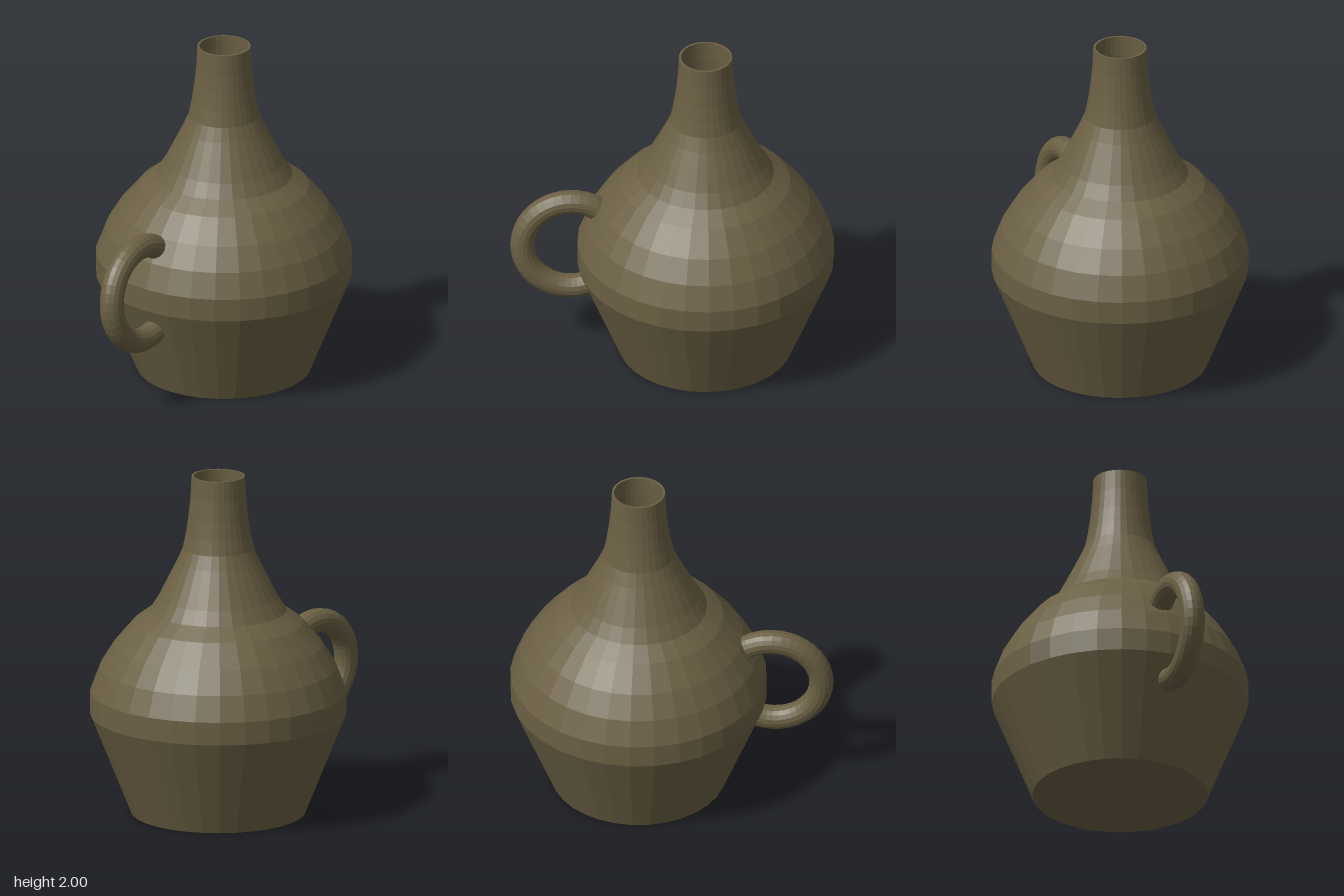
import * as THREE from 'three';

export function createModel() {
  const group = new THREE.Group();
  const material = new THREE.MeshStandardMaterial({ color: 0x6b6044, flatShading: true });

  // Outer profile [radius, height], foot to rim
  const outer = [
    [0.505, 0], [0.74, 0.585], [0.74, 0.72], [0.685, 0.865], [0.605, 0.995],
    [0.49, 1.13], [0.395, 1.2], [0.345, 1.28], [0.295, 1.38], [0.24, 1.49],
    [0.205, 1.57], [0.187, 1.66], [0.172, 1.76], [0.16, 1.88], [0.154, 2],
  ];
  // Thin wall: the same profile drawn in, back down to the floor
  const wall = 0.013;
  const inner = outer.map(([r, y]) => [r - wall, Math.max(y, wall)]).reverse();
  const profile = [[0, 0], ...outer, ...inner, [0, wall]];

  // Hollow vessel, belly and neck
  const vessel = new THREE.Mesh(
    new THREE.LatheGeometry(profile.map(([r, y]) => new THREE.Vector2(r, y)), 32),
    material,
  );
  vessel.name = 'vessel';
  vessel.position.z = -0.195;
  group.add(vessel);

  // Ring handle, leaning slightly sideways
  const ring = new THREE.TorusGeometry(0.28, 0.07, 16, 40);
  ring.rotateY(Math.PI / 2);
  const handle = new THREE.Mesh(ring, material);
  handle.name = 'handle';
  handle.position.set(0, 0.71, 0.582);
  handle.rotation.z = 0.065;
  group.add(handle);

  return group;
}
